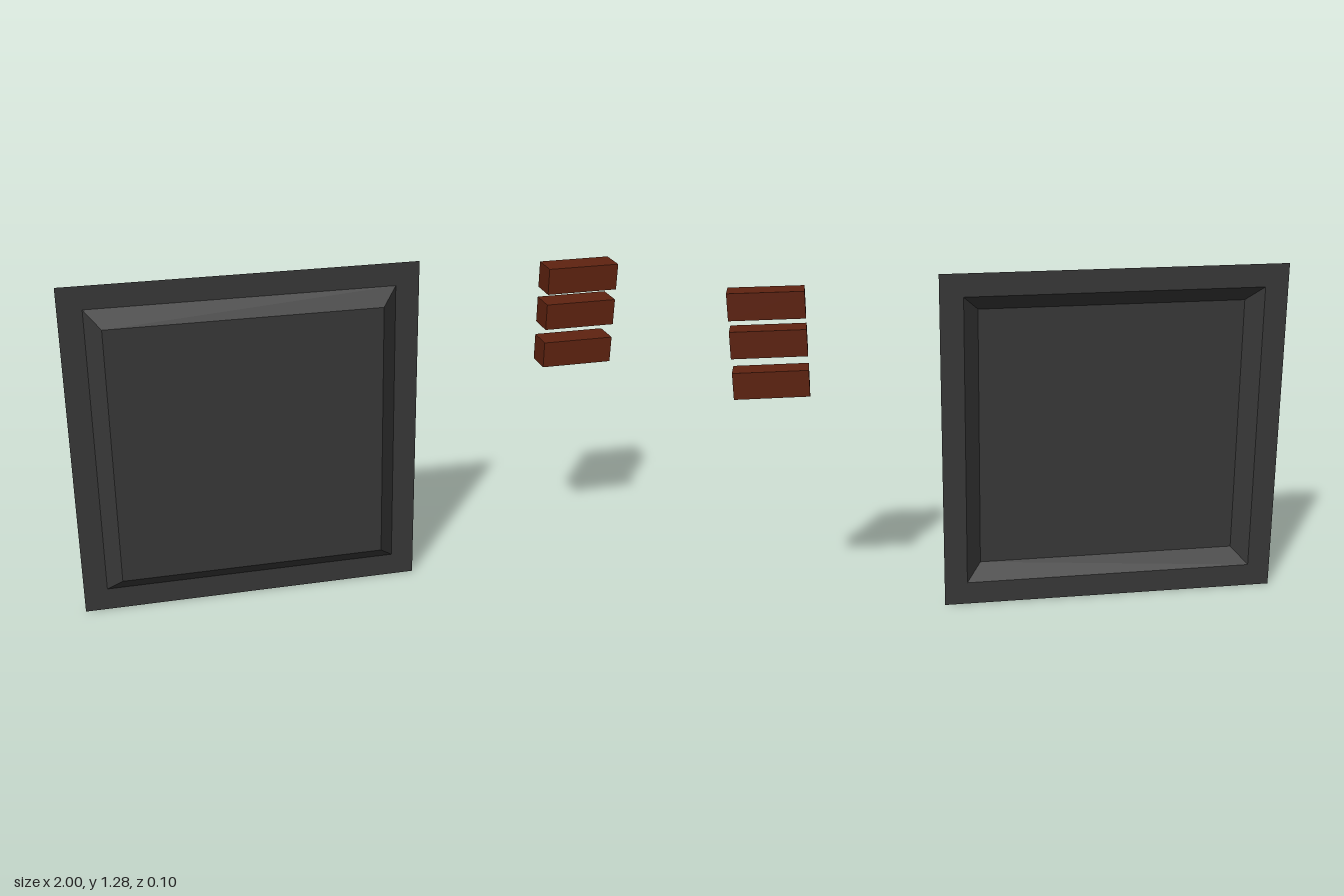
import * as THREE from 'three';

// Rectangle corners, counter-clockwise seen from the front
const rect = (x0, x1, y0, y1, z) => [[x0, y0, z], [x1, y0, z], [x1, y1, z], [x0, y1, z]];

// Flat-shaded surface made from four-cornered faces
function quads(faces) {
  const points = faces.flatMap(([a, b, c, d]) => [a, b, c, a, c, d]).flat();
  const geometry = new THREE.BufferGeometry();
  geometry.setAttribute('position', new THREE.Float32BufferAttribute(points, 3));
  geometry.computeVertexNormals();
  return geometry;
}

// Four faces joining an outer rectangle to an inner one
const band = (outer, inner) => outer.map((p, i) => {
  const j = (i + 1) % 4;
  return [p, outer[j], inner[j], inner[i]];
});

export function createModel() {
  const model = new THREE.Group();
  model.name = 'panelAndBars';

  const charcoal = new THREE.MeshStandardMaterial({ color: 0x383838, side: THREE.DoubleSide });
  charcoal.name = 'charcoal';
  const rust = new THREE.MeshStandardMaterial({ color: 0x5f2310 });
  rust.name = 'rust brown';

  const add = (name, geometry, material, parent) => {
    const mesh = new THREE.Mesh(geometry, material);
    mesh.name = name;
    parent.add(mesh);
    return mesh;
  };

  // Thin pressed sheet: flat rim, sloping sides, raised centre
  const back = -0.032, front = 0.023;
  const edge = rect(-1, 0.273, 0, 1.276, back);
  const foot = rect(-0.914, 0.187, 0.087, 1.191, back);
  const top = rect(-0.857, 0.13, 0.145, 1.133, front);
  const panel = new THREE.Group();
  panel.name = 'panel';
  add('rim', quads(band(edge, foot)), charcoal, panel);
  add('slopingSides', quads(band(foot, top)), charcoal, panel);
  add('raisedCentre', quads([top]), charcoal, panel);
  model.add(panel);

  // Three stacked bars beside the panel
  const bars = new THREE.Group();
  bars.name = 'bars';
  const barGeometry = new THREE.BoxGeometry(0.264, 0.096, 0.096);
  [0.905, 1.052, 1.187].forEach((y, i) => {
    add(`bar${i + 1}`, barGeometry, rust, bars).position.set(0.868, y, 0);
  });
  model.add(bars);

  return model;
}
